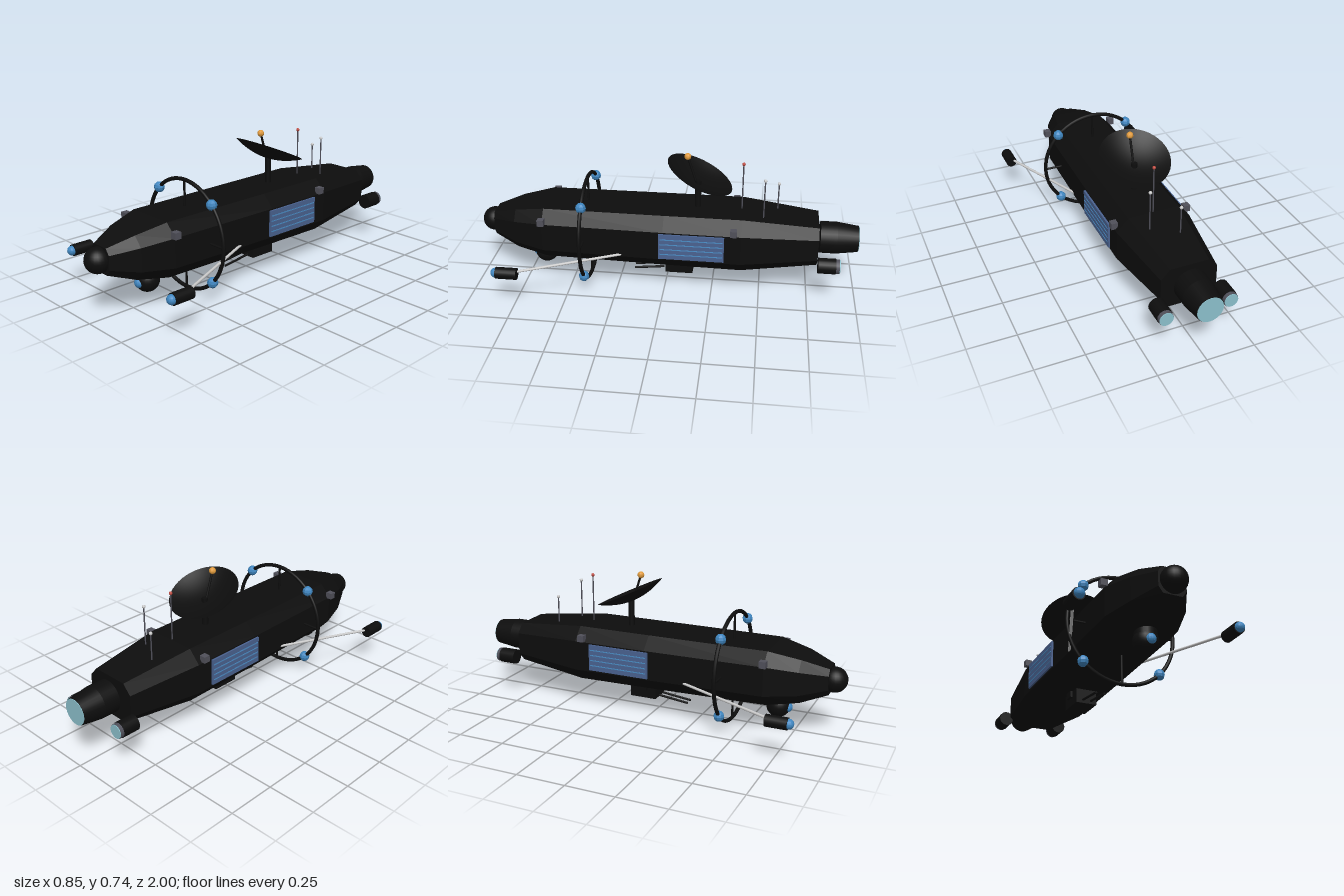
import * as THREE from 'three';

const mat = (color, flatShading = false, side = THREE.FrontSide) =>
  new THREE.MeshStandardMaterial({ color, flatShading, side });

const black = mat(0x0d0d0d);
const hullBlack = mat(0x0d0d0d, true);
const dishBlack = mat(0x0d0d0d, false, THREE.DoubleSide);
const blue = mat(0x3f86c0, true);
const orange = mat(0xe09a3c, true);
const red = mat(0xc04a40);
const white = mat(0xcccccc);
const grey = mat(0x50505a);
const panelBlue = mat(0x4a6290);
const stripeBlue = mat(0x4a8cc4);
const glow = mat(0x8cc0cc);

export function createModel() {
  const model = new THREE.Group();

  const add = (name, geometry, material, x = 0, y = 0, z = 0, parent = model) => {
    const mesh = new THREE.Mesh(geometry, material);
    mesh.name = name;
    mesh.position.set(x, y, z);
    parent.add(mesh);
    return mesh;
  };
  const box = (w, h, d) => new THREE.BoxGeometry(w, h, d);
  const ball = (r, w = 16, h = 12) => new THREE.SphereGeometry(r, w, h);
  // Cylinder along z, with radii at its front and back ends
  const tubeZ = (rFront, rBack, length, sides = 20) =>
    new THREE.CylinderGeometry(rFront, rBack, length, sides).rotateX(Math.PI / 2);
  // Round rod between two points
  const rod = (name, from, to, r, material) => {
    const a = new THREE.Vector3(...from), b = new THREE.Vector3(...to);
    const dir = b.clone().sub(a);
    const mesh = add(name, new THREE.CylinderGeometry(r, r, dir.length(), 10), material);
    mesh.position.copy(a).add(b).multiplyScalar(0.5);
    mesh.quaternion.setFromUnitVectors(new THREE.Vector3(0, 1, 0), dir.normalize());
    return mesh;
  };

  // Hull: chamfered sections [z, half width, bottom, top] from back to front
  const sections = [
    [-0.79, 0.143, 0.19, 0.403],
    [-0.4, 0.195, 0.15, 0.443],
    [0, 0.195, 0.155, 0.443],
    [0.63, 0.188, 0.165, 0.443],
    [0.79, 0.138, 0.19, 0.41],
    [0.92, 0.07, 0.235, 0.368],
  ];
  add('hull', hullGeometry(sections), hullBlack);
  add('noseDome', ball(0.064, 24, 16), black, 0, 0.302, 0.936);

  // Main engine and its glowing outlet
  add('engineCasing', tubeZ(0.083, 0.083, 0.085, 28), black, 0, 0.302, -0.8445);
  add('engineNozzle', tubeZ(0.083, 0.068, 0.11, 28), black, 0, 0.302, -0.942);
  add('engineGlow', tubeZ(0.066, 0.066, 0.006, 28), glow, 0, 0.302, -0.997);

  // Sensor ring with spokes and low-poly sensor balls
  const ringY = 0.295, ringZ = 0.415, ringR = 0.283;
  add('sensorRing', new THREE.TorusGeometry(ringR, 0.01, 10, 56), black, 0, ringY, ringZ);
  for (let i = 0; i < 4; i++) {
    const a = i * Math.PI / 2, b = a + Math.PI / 4;
    const c = Math.cos(a), s = Math.sin(a);
    rod('ringSpoke', [c * 0.1, ringY + s * 0.1, ringZ], [c * ringR, ringY + s * ringR, ringZ], 0.006, black);
    add('ringSensor', ball(0.028, 8, 6), blue,
      Math.cos(b) * ringR, ringY + Math.sin(b) * ringR, ringZ);
  }

  // Paired parts on the left and right
  for (const side of [1, -1]) {
    // Side thrusters
    add('sideThruster', tubeZ(0.04, 0.04, 0.09), black, side * 0.165, 0.225, -0.837);
    add('thrusterRim', tubeZ(0.037, 0.037, 0.02), grey, side * 0.165, 0.225, -0.89);
    add('thrusterGlow', tubeZ(0.035, 0.035, 0.006), glow, side * 0.165, 0.225, -0.901);

    // Outrigger arms with sensor pods
    rod('outriggerArm', [side * 0.18, 0.233, 0.2], [side * 0.39, 0.207, 0.74], 0.007, white);
    add('outriggerPod', tubeZ(0.03, 0.03, 0.108), black, side * 0.397, 0.204, 0.768);
    add('podLens', ball(0.025), blue, side * 0.397, 0.204, 0.825);

    // Solar panels with raised stripes
    add('solarPanel', box(0.014, 0.14, 0.335), panelBlue, side * 0.198, 0.3, -0.147);
    for (let i = 0; i < 4; i++)
      add('panelStripe', box(0.003, 0.005, 0.32), stripeBlue, side * 0.2055, 0.258 + i * 0.028, -0.147);

    // Corner sensor blocks
    for (const z of [0.63, -0.36]) add('sensorBlock', box(0.034, 0.034, 0.034), grey, side * 0.195, 0.397, z);

    // Belly gripper fingers and joints
    rod('gripperFinger', [side * 0.022, 0.078, 0.01], [side * 0.022, 0.059, 0.172], 0.006, black);
    add('gripperJoint', box(0.016, 0.033, 0.05), black, side * 0.061, 0.124, -0.072);
  }

  // Belly module and camera turret
  add('bellyModule', box(0.112, 0.075, 0.145), black, 0, 0.102, -0.072);
  add('cameraBall', ball(0.062, 24, 16), black, 0, 0.125, 0.66);
  add('cameraMount', new THREE.CylinderGeometry(0.056, 0.056, 0.05, 20), black, 0, 0.16, 0.66);
  add('cameraLens', ball(0.027), blue, 0, 0.12, 0.706);

  // Tilted dish on a mast, with its feed
  add('dishMast', new THREE.CylinderGeometry(0.016, 0.016, 0.16, 16), black, 0, 0.51, -0.163);
  const profile = [];
  for (let i = 0; i <= 10; i++) {
    const t = i / 10;
    profile.push(new THREE.Vector2(0.183 * t, 0.05 * (t * t - 1)));
  }
  const dish = add('dish', new THREE.LatheGeometry(profile, 40), dishBlack, 0, 0.624, -0.172);
  dish.rotation.x = -0.434;
  rod('dishFeedRod', [0, 0.58, -0.152], [0, 0.72, -0.107], 0.006, black);
  add('dishFeed', ball(0.018, 10, 8), orange, 0, 0.72, -0.107);

  // Whip antennas: x, z, tip height, tip material
  for (const [x, z, top, tip] of [[0, -0.392, 0.692, red], [0.07, -0.505, 0.637, white], [-0.057, -0.577, 0.566, white]]) {
    rod('antenna', [x, 0.4, z], [x, top, z], 0.0035, grey);
    add('antennaTip', ball(0.009, 10, 8), tip, x, top, z);
  }

  return model;
}

// Lofts chamfered rectangles along z and closes both ends
function hullGeometry(sections) {
  const rings = sections.map(([z, w, bottom, top]) => {
    const mid = (bottom + top) / 2, h = (top - bottom) / 2;
    const cx = w * 0.69, cy = h * 0.54;
    return [[w, -cy], [w, cy], [cx, h], [-cx, h], [-w, cy], [-w, -cy], [-cx, -h], [cx, -h]]
      .map(([x, y]) => [x, mid + y, z]);
  });
  const positions = [];
  const tri = (...corners) => corners.forEach((p) => positions.push(...p));
  const n = 8;
  for (let i = 0; i < rings.length - 1; i++) {
    for (let j = 0; j < n; j++) {
      const k = (j + 1) % n;
      const a = rings[i][j], b = rings[i][k], c = rings[i + 1][k], d = rings[i + 1][j];
      tri(a, b, c);
      tri(a, c, d);
    }
  }
  const back = rings[0], front = rings[rings.length - 1];
  for (let j = 1; j < n - 1; j++) {
    tri(back[0], back[j + 1], back[j]);
    tri(front[0], front[j], front[j + 1]);
  }
  const geometry = new THREE.BufferGeometry();
  geometry.setAttribute('position', new THREE.Float32BufferAttribute(positions, 3));
  geometry.computeVertexNormals();
  return geometry;
}
